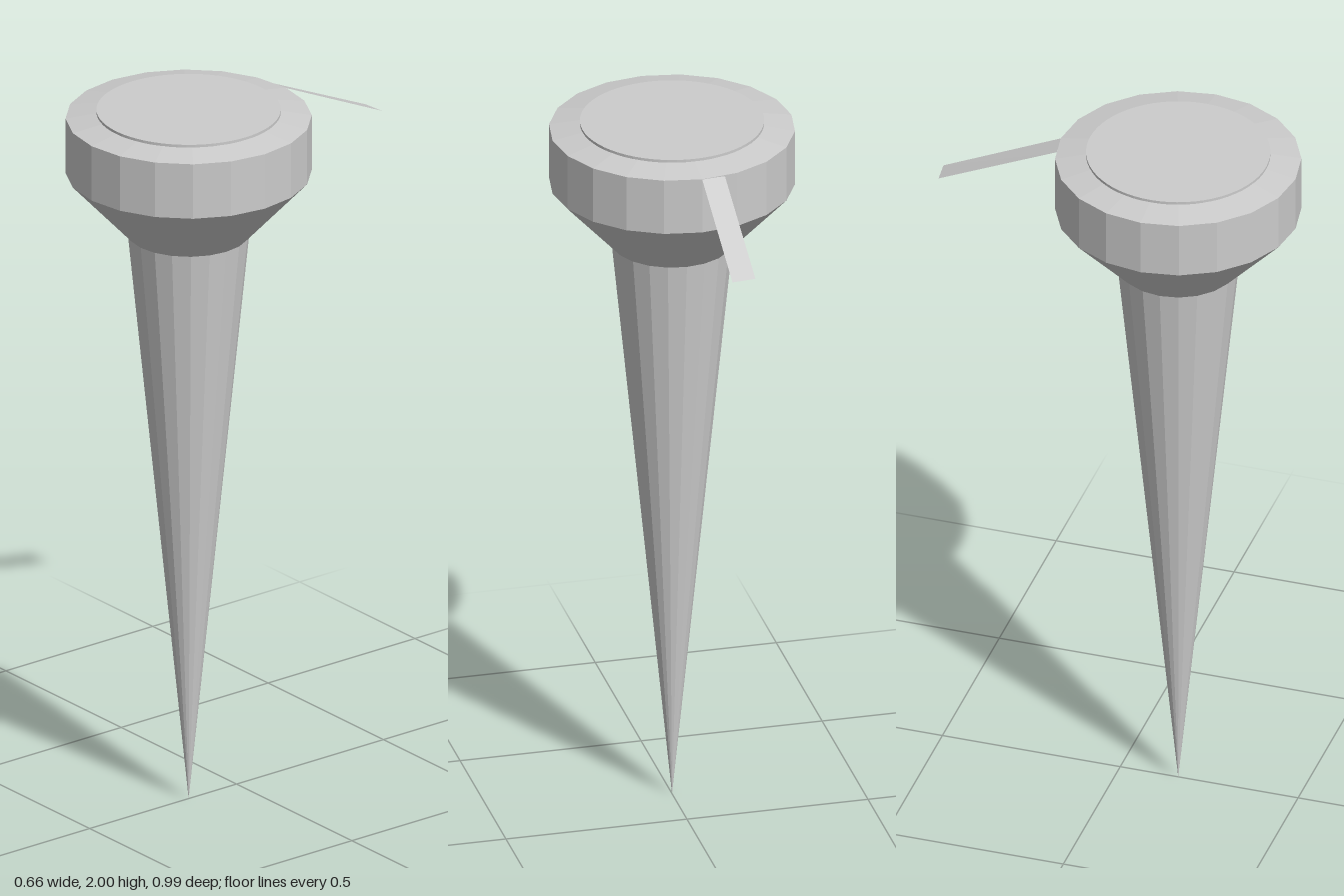
import * as THREE from 'three';

const AXIS_Z = 0.163; // the spike's axis sits forward of the centre

export function createModel() {
  const group = new THREE.Group();
  const flat = new THREE.MeshStandardMaterial({ color: 0xcccccc, flatShading: true });
  const thin = new THREE.MeshStandardMaterial({ color: 0xcccccc, flatShading: true, side: THREE.DoubleSide });

  const add = (name, geometry, material, z = 0) => {
    const mesh = new THREE.Mesh(geometry, material);
    mesh.name = name;
    mesh.position.z = z;
    group.add(mesh);
  };
  const lathe = (points, sides) =>
    new THREE.LatheGeometry(points.map(([r, y]) => new THREE.Vector2(r, y)), sides);

  // Long pointed spike
  add('spike', lathe([[0, 0], [0.163, 1.64]], 20), flat, AXIS_Z);

  // Faceted head: flared neck, straight band and bevelled rim
  add('head', lathe([[0.163, 1.64], [0.33, 1.82], [0.33, 1.978], [0.245, 1.993]], 20), flat, AXIS_Z);

  // Round lid on top of the head
  add('lid', lathe([[0.247, 1.985], [0.247, 2], [0, 2]], 64), flat, AXIS_Z);

  // Thin tab sloping down behind the head
  const tab = new THREE.BufferGeometry();
  tab.setAttribute('position', new THREE.Float32BufferAttribute([
    -0.065, 1.975, -0.158,
    0, 1.978, -0.165,
    0, 1.825, -0.497,
    -0.065, 1.825, -0.49,
  ], 3));
  tab.setIndex([0, 1, 2, 0, 2, 3].reverse());
  tab.computeVertexNormals();
  add('tab', tab, thin);

  return group;
}
